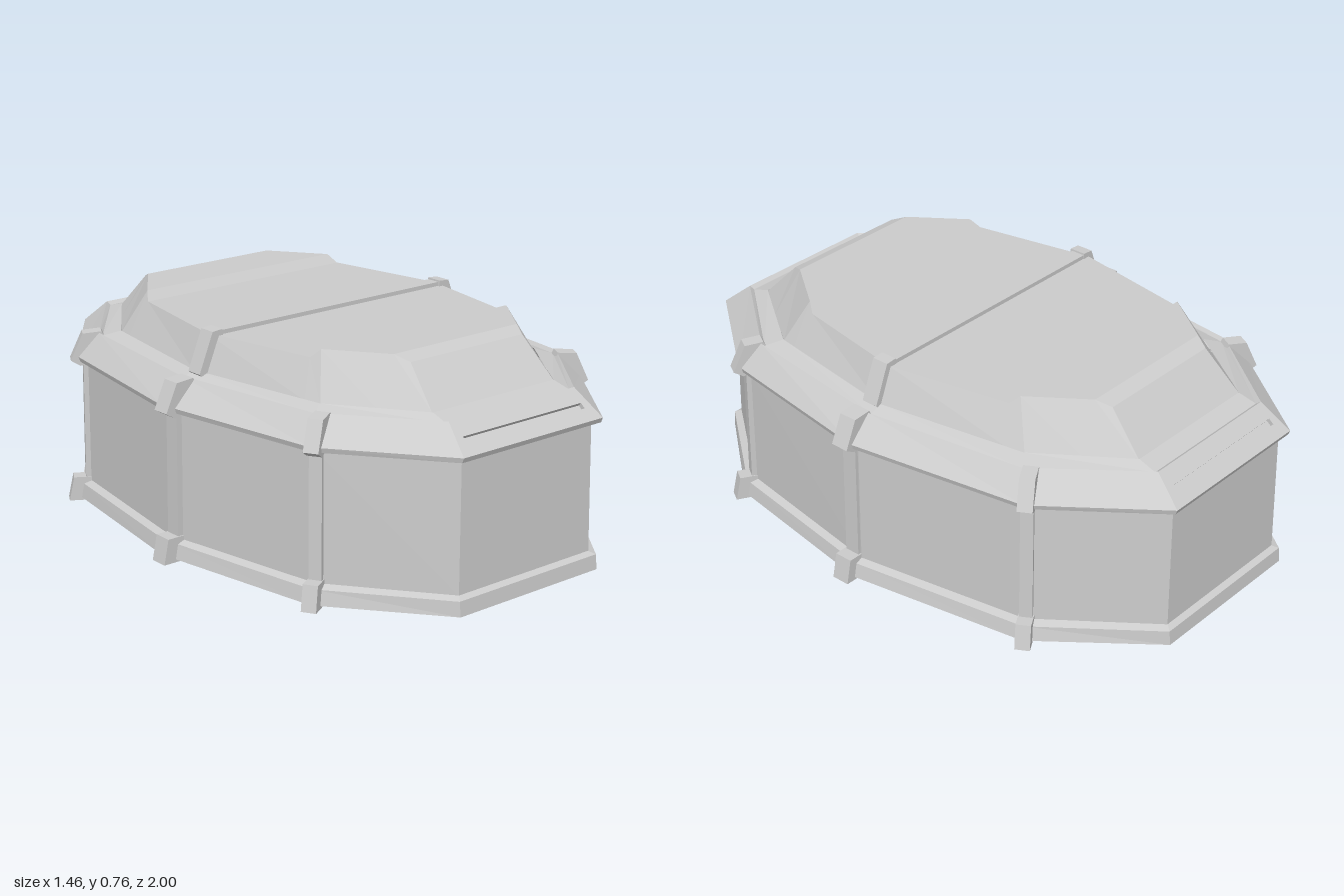
import * as THREE from 'three';

const material = new THREE.MeshStandardMaterial({ color: 0xcccccc, flatShading: true, side: THREE.DoubleSide });

function addMesh(parent, name, geometry) {
  const mesh = new THREE.Mesh(geometry, material);
  mesh.name = name;
  parent.add(mesh);
  return mesh;
}

// Quarter outline at height y: middle, shoulder and end corners
const outline = (y, mid, shoulderX, shoulderZ, endX, endZ) =>
  [[mid, y, 0], [shoulderX, y, shoulderZ], [endX, y, endZ]];

// Mirror a quarter outline into a closed ring
function fullRing(q) {
  const flip = (list, sx, sz) => list.map(([x, y, z]) => [x * sx, y, z * sz]);
  const back = [...q].reverse();
  return [...q, ...flip(back, -1, 1), ...flip(q.slice(1), -1, -1), ...flip(back.slice(0, -1), 1, -1)];
}

// Skin a stack of quarter outlines, bottom to top, with optional caps
function loft(layers, { bottom = false, top = false, openEnds = -1 } = {}) {
  const pos = [];
  const tri = (a, b, c) => pos.push(...a, ...b, ...c);
  const rings = layers.map(fullRing);
  const n = rings[0].length;
  const endA = layers[0].length - 1;
  const endB = endA * 3 + 1;
  for (let k = 0; k < rings.length - 1; k++) {
    for (let i = 0; i < n; i++) {
      if (k === openEnds && (i === endA || i === endB)) continue;
      const j = (i + 1) % n;
      const a = rings[k][i], b = rings[k][j], c = rings[k + 1][j], d = rings[k + 1][i];
      tri(a, d, c);
      tri(a, c, b);
    }
  }
  const cap = (q, up) => {
    for (let i = 0; i < q.length - 1; i++) {
      for (const s of [1, -1]) {
        const p = (k, sx) => [q[k][0] * sx, q[k][1], q[k][2] * s];
        const quad = [p(i, 1), p(i, -1), p(i + 1, -1), p(i + 1, 1)];
        if ((s > 0) !== up) quad.reverse();
        tri(quad[0], quad[1], quad[2]);
        tri(quad[0], quad[2], quad[3]);
      }
    }
  };
  if (bottom) cap(layers[0], false);
  if (top) cap(layers[layers.length - 1], true);
  const g = new THREE.BufferGeometry();
  g.setAttribute('position', new THREE.Float32BufferAttribute(pos, 3));
  g.computeVertexNormals();
  return g;
}

const shapeOf = (points) => new THREE.Shape(points.map(([x, y]) => new THREE.Vector2(x, y)));

// Extrude a (radius, height) profile to a centred width
function slab(points, width) {
  const g = new THREE.ExtrudeGeometry(shapeOf(points), { depth: width, bevelEnabled: false });
  return g.translate(0, 0, -width / 2);
}

// Clamps and wall rib standing at one corner of the case, r = 0 at the rim edge
function createStrap(width) {
  const strap = new THREE.Group();
  strap.name = 'sideStrap';
  addMesh(strap, 'rimClamp', slab(
    [[-0.1, 0.59], [-0.09, 0.61], [-0.025, 0.605], [0.018, 0.51], [-0.015, 0.49], [-0.05, 0.5]], width));
  addMesh(strap, 'wallRib', slab([[-0.06, 0.06], [-0.02, 0.06], [-0.025, 0.51], [-0.06, 0.51]], width * 0.85));
  addMesh(strap, 'footClamp', slab([[-0.06, 0], [0.04, 0], [0.022, 0.085], [-0.06, 0.085]], width));
  return strap;
}

export function createModel() {
  const model = new THREE.Group();
  model.name = 'container';

  // Base skirt
  addMesh(model, 'baseSkirt', loft([
    outline(0.01, 0.695, 0.59, 0.635, 0.3, 1),
    outline(0.06, 0.685, 0.582, 0.63, 0.3, 0.995),
    outline(0.072, 0.655, 0.555, 0.615, 0.28, 0.97),
  ], { bottom: true }));

  // Body walls
  addMesh(model, 'walls', loft([
    outline(0.07, 0.66, 0.558, 0.617, 0.285, 0.975),
    outline(0.505, 0.655, 0.555, 0.615, 0.28, 0.97),
  ]));

  // Overhanging rim with gutter; the end slopes are separate slotted panels
  addMesh(model, 'rim', loft([
    outline(0.5, 0.65, 0.553, 0.613, 0.28, 0.968),
    outline(0.505, 0.68, 0.58, 0.628, 0.3, 0.993),
    outline(0.522, 0.685, 0.585, 0.63, 0.3, 1),
    outline(0.605, 0.605, 0.525, 0.575, 0.27, 0.9),
    outline(0.594, 0.595, 0.515, 0.57, 0.265, 0.885),
    outline(0.612, 0.55, 0.465, 0.53, 0.26, 0.82),
  ], { openEnds: 2 }));

  // Slotted end panels
  const slope = Math.hypot(0.1, 0.083);
  const tilt = -Math.atan2(0.1, 0.083);
  for (const s of [1, -1]) {
    const end = new THREE.Group();
    end.name = s > 0 ? 'frontSlotPanel' : 'backSlotPanel';
    const panel = shapeOf([[-0.3, 0], [0.3, 0], [0.27, slope], [-0.27, slope]]);
    const v0 = 0.048, v1 = 0.07;
    panel.holes.push(new THREE.Path([[-0.255, v0], [-0.255, v1], [0.255, v1], [0.255, v0]]
      .map(([x, y]) => new THREE.Vector2(x, y))));
    const tilted = new THREE.Group();
    addMesh(tilted, 'panel', new THREE.ExtrudeGeometry(panel, { depth: 0.015, bevelEnabled: false })
      .translate(0, 0, -0.015));
    addMesh(tilted, 'slotFloor', new THREE.BoxGeometry(0.53, 0.04, 0.004)).position.set(0, 0.059, -0.016);
    tilted.position.set(0, 0.522, 1);
    tilted.rotation.x = tilt;
    end.add(tilted);
    end.rotation.y = s > 0 ? 0 : Math.PI;
    model.add(end);
  }

  // Domed lid with a raised block at each end
  addMesh(model, 'lid', loft([
    [[0.55, 0.608, 0], [0.474, 0.608, 0.47], [0.462, 0.608, 0.53], [0.36, 0.608, 0.68], [0.262, 0.608, 0.82]],
    [[0.5, 0.728, 0], [0.42, 0.728, 0.43], [0.4, 0.757, 0.46], [0.265, 0.757, 0.645], [0.24, 0.738, 0.695]],
  ], { top: true }));

  // Band across the lid, with thicker legs down both sides
  addMesh(model, 'lidBand', new THREE.BoxGeometry(1, 0.03, 0.05)).position.set(0, 0.727, 0.025);
  for (const s of [1, -1]) {
    const leg = addMesh(model, 'lidBandLeg', slab(
      [[0.47, 0.7], [0.475, 0.748], [0.515, 0.745], [0.57, 0.612], [0.545, 0.59], [0.52, 0.6]], 0.06));
    leg.position.z = 0.028;
    leg.rotation.y = s > 0 ? 0 : Math.PI;
  }

  // Straps at the middle of each side and at the four shoulders
  for (const sx of [1, -1]) {
    const middle = createStrap(0.065);
    middle.position.set(sx * 0.69, 0, 0.032);
    middle.rotation.y = sx > 0 ? 0 : Math.PI;
    model.add(middle);
    for (const sz of [1, -1]) {
      const corner = createStrap(0.05);
      corner.position.set(sx * 0.583, 0, sz * 0.638);
      corner.rotation.y = Math.atan2(-sz * 0.5, sx * 0.86);
      model.add(corner);
    }
  }
  return model;
}
